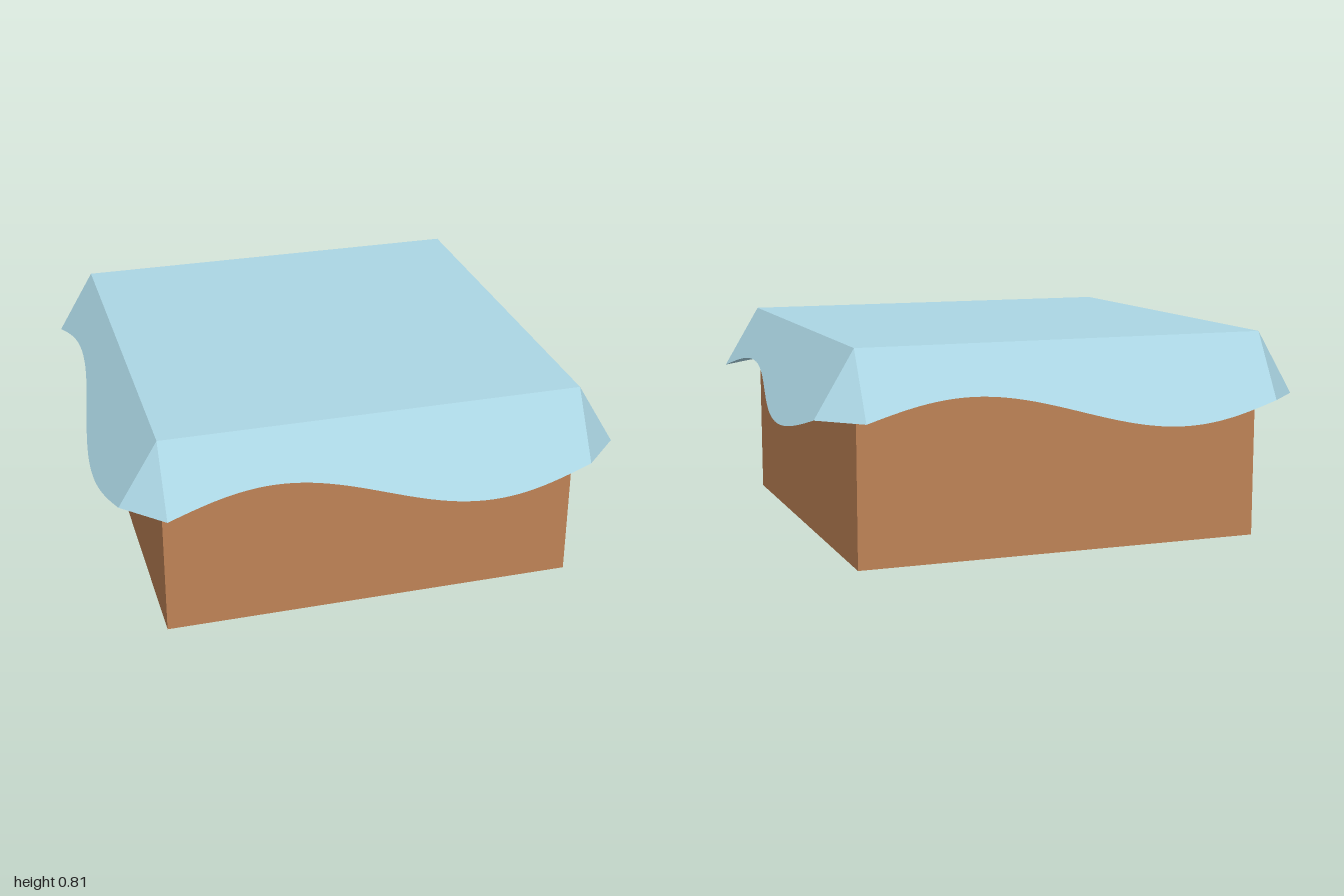
import * as THREE from 'three';

const HALF = 0.81;    // half width of the cloth top
const TOP = 0.81;     // height of the cloth top
const DROP = 0.25;    // mean drop of the skirt
const WAVE = 0.07;    // height of the hem wave
const FLARE = 0.6;    // outward run per unit of drop

// One sloping skirt panel on the +z side, with a wavy hem
function skirtGeometry() {
  const geo = new THREE.PlaneGeometry(2 * HALF, 1, 48, 1);
  const pos = geo.attributes.position;
  for (let i = 0; i < pos.count; i++) {
    const x = pos.getX(i);
    const drop = pos.getY(i) > 0 ? 0 : DROP + WAVE * Math.sin((x / HALF) * Math.PI);
    pos.setXYZ(i, x, TOP - drop, HALF + FLARE * drop);
  }
  geo.computeVertexNormals();
  return geo;
}

// Flat triangle joining two neighbouring skirt panels
function cornerGeometry() {
  const out = HALF + FLARE * DROP;
  const low = TOP - DROP;
  const geo = new THREE.BufferGeometry().setFromPoints([
    new THREE.Vector3(HALF, TOP, HALF),
    new THREE.Vector3(HALF, low, out),
    new THREE.Vector3(out, low, HALF),
  ]);
  geo.computeVertexNormals();
  return geo;
}

export function createModel() {
  const model = new THREE.Group();
  model.name = 'coveredBox';

  const wood = new THREE.MeshStandardMaterial({ color: 0xc08457, flatShading: true });
  const fabric = new THREE.MeshStandardMaterial({
    color: 0xadd8e6, flatShading: true, side: THREE.DoubleSide,
  });

  const add = (name, geometry, material, parent) => {
    const mesh = new THREE.Mesh(geometry, material);
    mesh.name = name;
    parent.add(mesh);
    return mesh;
  };

  // Box body, just inside the cloth
  const bodyHeight = TOP - 0.005;
  const bodyWidth = 2 * HALF - 0.01;
  add('boxBody', new THREE.BoxGeometry(bodyWidth, bodyHeight, bodyWidth), wood, model)
    .position.y = bodyHeight / 2;

  // Cloth cover: flat top, four wavy skirts and four corner gussets
  const cloth = new THREE.Group();
  cloth.name = 'clothCover';
  model.add(cloth);

  const top = new THREE.PlaneGeometry(2 * HALF, 2 * HALF).rotateX(-Math.PI / 2);
  add('clothTop', top, fabric, cloth).position.y = TOP;

  const skirt = skirtGeometry();
  const corner = cornerGeometry();
  ['front', 'left', 'back', 'right'].forEach((side, i) => {
    add(side + 'Skirt', skirt, fabric, cloth).rotation.y = (i * Math.PI) / 2;
    add(side + 'Corner', corner, fabric, cloth).rotation.y = (i * Math.PI) / 2;
  });

  return model;
}
